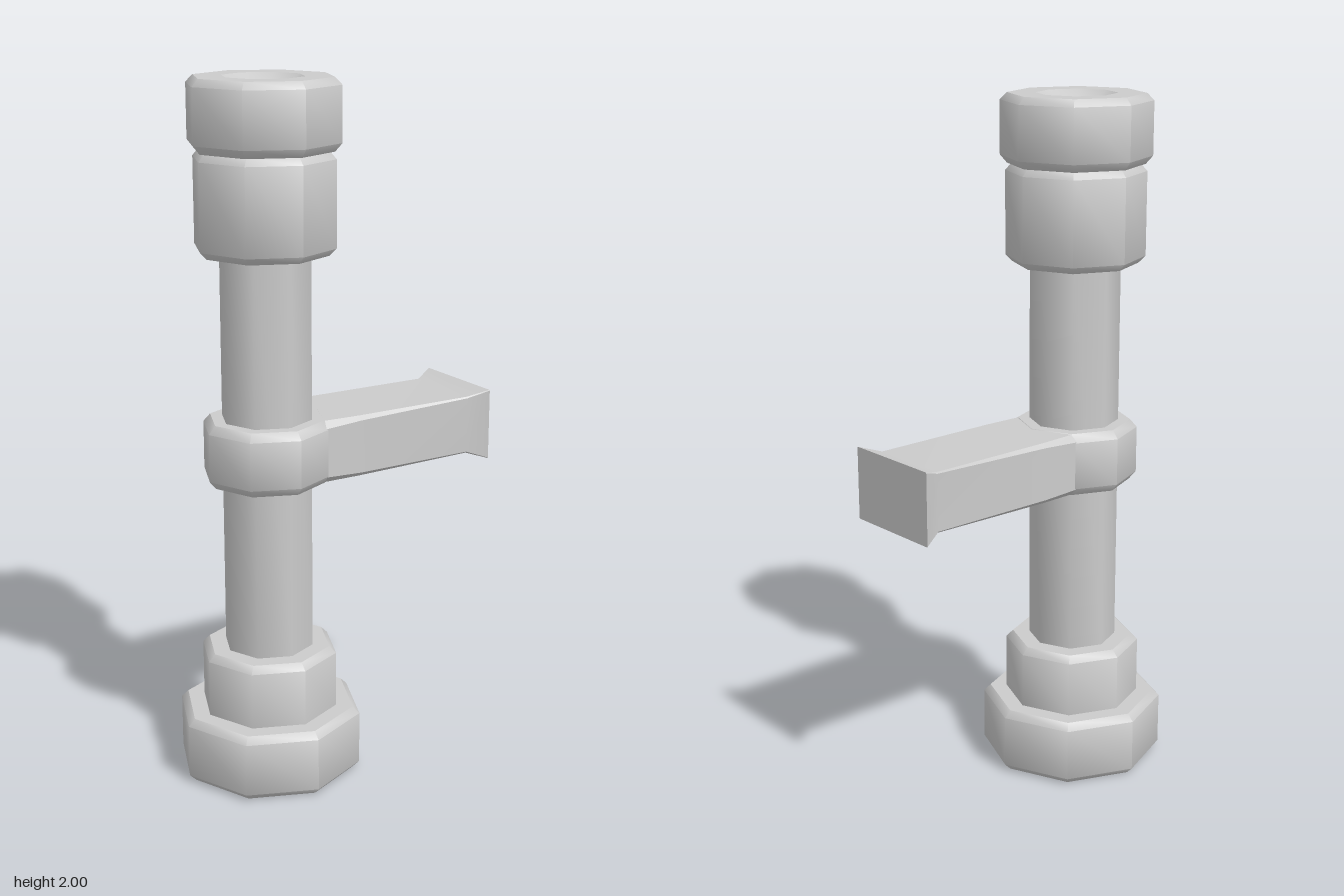
import * as THREE from 'three';
import { toCreasedNormals } from 'three/addons/utils/BufferGeometryUtils.js';

const material = new THREE.MeshStandardMaterial({ color: 0xcccccc });
const CREASE = 0.803; // smooth round the octagon, sharp at the flat caps

// Eight-sided turned part from [radius, height] points, listed bottom to top
function turned(name, points) {
  const profile = points.map(([r, y]) => new THREE.Vector2(r, y));
  const mesh = new THREE.Mesh(toCreasedNormals(new THREE.LatheGeometry(profile, 8), CREASE), material);
  mesh.name = name;
  return mesh;
}

// Bar along x lofted through chamfered rectangles: [x, half height, half depth, chamfer]
function loftedBar(name, sections, midY) {
  const positions = [];
  const index = [];
  for (const [x, h, d, c] of sections) {
    const ring = [[h, d - c], [h - c, d], [-h + c, d], [-h, d - c], [-h, -d + c], [-h + c, -d], [h - c, -d], [h, -d + c]];
    for (const [y, z] of ring) positions.push(x, midY + y, z);
  }
  for (let s = 0; s < sections.length - 1; s++) {
    for (let i = 0; i < 8; i++) {
      const a = s * 8 + i, b = s * 8 + (i + 1) % 8;
      index.push(a, b, a + 8, b, b + 8, a + 8);
    }
  }
  const last = (sections.length - 1) * 8;
  for (let i = 1; i < 7; i++) {
    index.push(0, i + 1, i);
    index.push(last, last + i, last + i + 1);
  }
  const geometry = new THREE.BufferGeometry();
  geometry.setAttribute('position', new THREE.Float32BufferAttribute(positions, 3));
  geometry.setIndex(index);
  const mesh = new THREE.Mesh(toCreasedNormals(geometry, 0.6), material);
  mesh.name = name;
  return mesh;
}

export function createModel() {
  const model = new THREE.Group();
  model.name = 'valvePost';

  const column = new THREE.Group();
  column.name = 'column';
  column.position.x = -0.2;
  model.add(column);

  column.add(
    // Wide foot with a dished underside
    turned('footDish', [[0, 0.04], [0.1, 0.025], [0.15, 0]]),
    turned('foot', [[0.15, 0], [0.25, 0], [0.27, 0.02], [0.27, 0.175], [0.25, 0.195], [0.15, 0.195]]),
    turned('lowerCollar', [[0.2, 0.19], [0.2, 0.36], [0.18, 0.38], [0.1, 0.38]]),
    turned('pipe', [[0.13, 0.36], [0.13, 1.54]]),
    // Clamp around the middle of the pipe
    turned('clampBand', [[0.12, 0.877], [0.165, 0.877], [0.185, 0.9], [0.185, 1.037], [0.165, 1.06], [0.12, 1.06]]),
    // Upper collar and cap with a narrow groove between them
    turned('upperCollar', [[0.1, 1.525], [0.18, 1.525], [0.2, 1.545], [0.2, 1.785], [0.18, 1.807], [0.1, 1.807]]),
    turned('cap', [[0.1, 1.805], [0.195, 1.805], [0.215, 1.828], [0.215, 1.98], [0.195, 2], [0.115, 2]]),
    turned('capDish', [[0.115, 2], [0.08, 1.98], [0, 1.965]])
  );

  // Side arm, flared at its free end
  model.add(loftedBar('sideArm', [
    [-0.1, 0.09, 0.136, 0.02],
    [0.03, 0.089, 0.134, 0.012],
    [0.41, 0.086, 0.125, 0.004],
    [0.47, 0.105, 0.153, 0.002],
  ], 0.969));

  return model;
}
